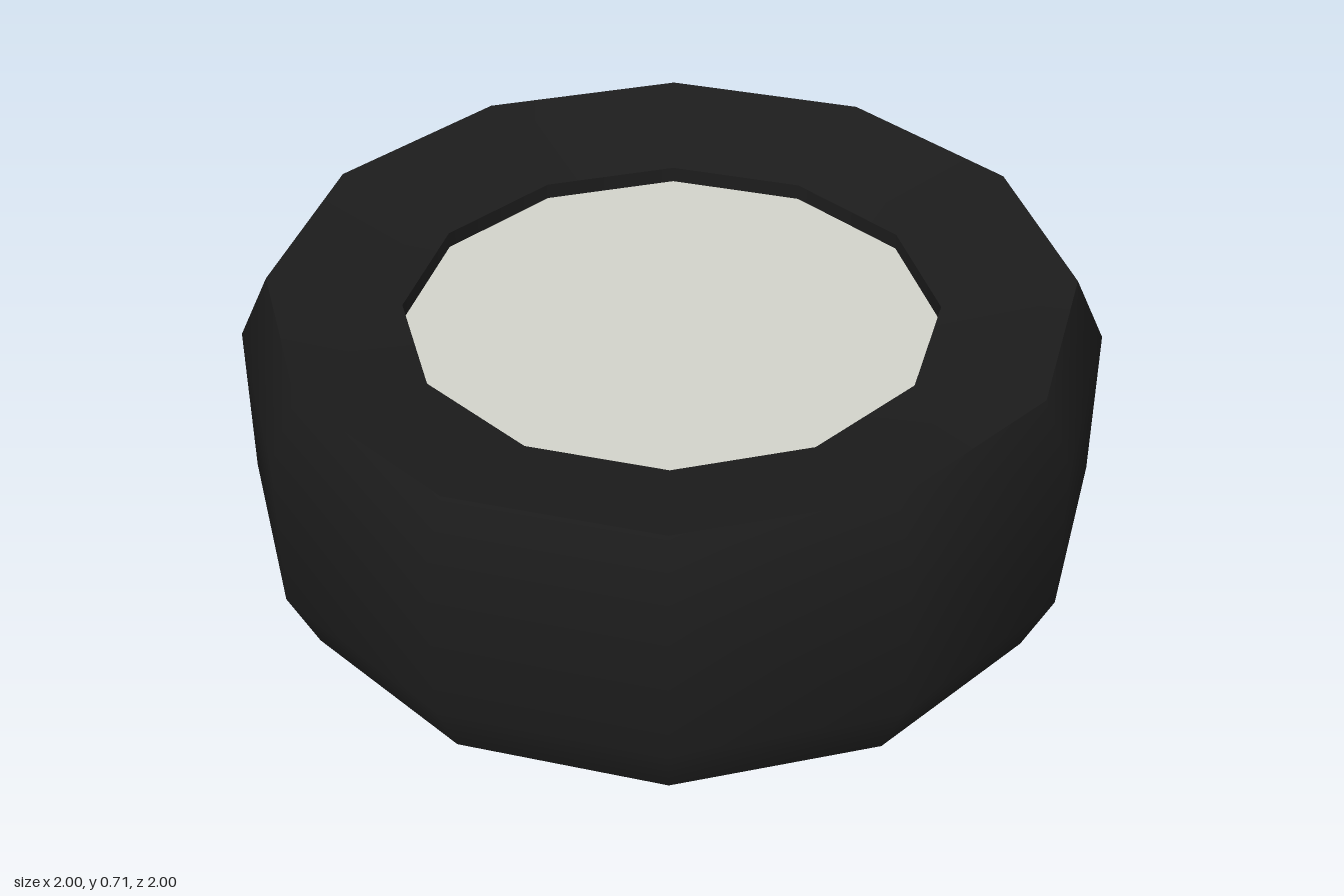
import * as THREE from 'three';
import { mergeVertices } from 'three/addons/utils/BufferGeometryUtils.js';

const SIDES = 12;
const PHASE = Math.PI / SIDES; // flats face the axes
const HEIGHT = 0.715;
const DISH = 0.075; // how far the sidewalls slope in towards the hub
const HUB_INSET = 0.115;
const R_TREAD = 1.035, R_EDGE = 0.962, R_HUB = 0.643;

export function createModel() {
  const rubber = new THREE.MeshStandardMaterial({ color: 0x1c1c1c });
  rubber.name = 'black rubber';
  const metal = new THREE.MeshStandardMaterial({ color: 0xd2d3ca });
  metal.name = 'pale grey hub';

  const wheel = new THREE.Group();
  wheel.name = 'wheel';

  // One smooth band of the tyre; separate bands keep the edges between them sharp
  const addBand = (name, profile) => {
    const points = profile.map(([r, y]) => new THREE.Vector2(r, y));
    const geometry = new THREE.LatheGeometry(points, SIDES, PHASE);
    geometry.deleteAttribute('uv');
    const band = new THREE.Mesh(mergeVertices(geometry), rubber);
    band.name = name;
    wheel.add(band);
  };

  // Tread with bevelled shoulders
  addBand('tread', [[R_EDGE, 0], [R_TREAD, 0.16], [R_TREAD, HEIGHT - 0.16], [R_EDGE, HEIGHT]]);

  // Dished sidewalls and the short rims down to the hub
  addBand('topSidewall', [[R_EDGE, HEIGHT], [R_HUB, HEIGHT - DISH]]);
  addBand('topRim', [[R_HUB, HEIGHT - DISH], [R_HUB, HEIGHT - HUB_INSET]]);
  addBand('bottomRim', [[R_HUB, HUB_INSET], [R_HUB, DISH]]);
  addBand('bottomSidewall', [[R_HUB, DISH], [R_EDGE, 0]]);

  // Recessed hub faces on both sides
  const addHub = (name, y, tilt) => {
    const hub = new THREE.Mesh(new THREE.CircleGeometry(R_HUB, SIDES, PHASE), metal);
    hub.name = name;
    hub.position.y = y;
    hub.rotation.x = tilt;
    wheel.add(hub);
  };
  addHub('topHub', HEIGHT - HUB_INSET, -Math.PI / 2);
  addHub('bottomHub', HUB_INSET, Math.PI / 2);

  return wheel;
}
